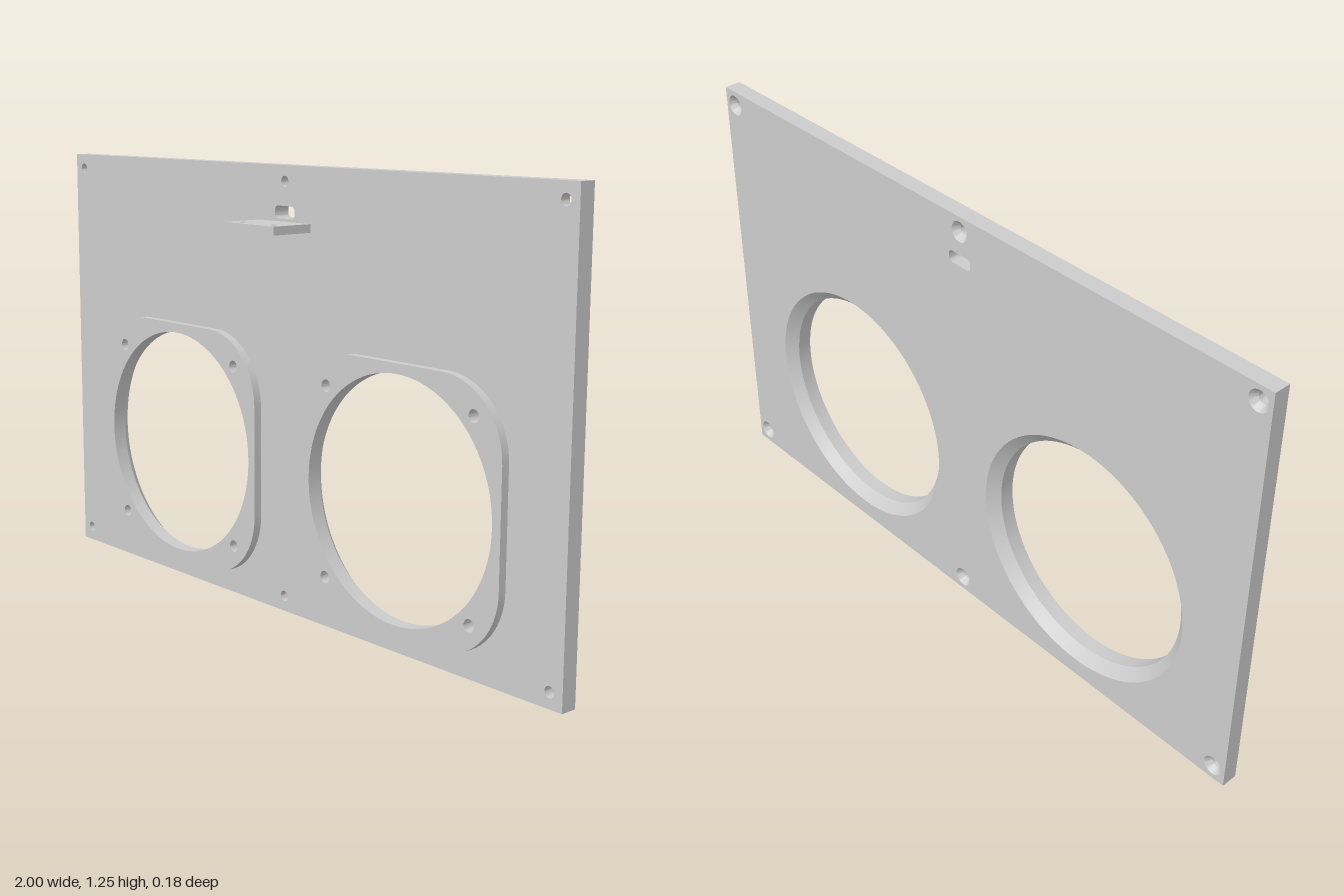
import * as THREE from 'three';
import { mergeGeometries, toCreasedNormals } from 'three/addons/utils/BufferGeometryUtils.js';

const BACK = -0.088, FRONT = -0.04, PAD = -0.016, H = 1.246;
const material = new THREE.MeshStandardMaterial({ color: 0xcccccc });

// Counter-clockwise rounded rectangle outline; a circle when r is half its size
function outline(cx, cy, w, h, r = 0, steps = 16) {
  const pts = [];
  [[1, 1], [-1, 1], [-1, -1], [1, -1]].forEach(([sx, sy], q) => {
    const x = cx + sx * (w / 2 - r), y = cy + sy * (h / 2 - r);
    if (!r) { pts.push(new THREE.Vector2(x, y)); return; }
    for (let i = 0; i <= steps; i++) {
      const a = (q + i / steps) * Math.PI / 2;
      const p = new THREE.Vector2(x + r * Math.cos(a), y + r * Math.sin(a));
      if (!pts.length || p.distanceTo(pts[pts.length - 1]) > 1e-5) pts.push(p);
    }
  });
  if (pts[0].distanceTo(pts[pts.length - 1]) < 1e-5) pts.pop();
  return pts;
}
const circle = (x, y, r, steps) => outline(x, y, 2 * r, 2 * r, r, steps);

// Wall between two matching outlines, z0 behind z1
function wall(a, z0, b, z1, inward = false) {
  const pos = [];
  a.forEach((p, i) => {
    const j = (i + 1) % a.length;
    const A = [p.x, p.y, z0], B = [a[j].x, a[j].y, z0];
    const C = [b[j].x, b[j].y, z1], D = [b[i].x, b[i].y, z1];
    pos.push(...(inward ? [A, C, B, A, D, C] : [A, B, C, A, C, D]).flat());
  });
  const g = new THREE.BufferGeometry();
  g.setAttribute('position', new THREE.Float32BufferAttribute(pos, 3));
  return g;
}

// Flat face with holes, facing +z
function face(points, holes, z) {
  const shape = new THREE.Shape(points);
  shape.holes = holes.map(h => new THREE.Path(h));
  const g = new THREE.ShapeGeometry(shape).toNonIndexed();
  g.deleteAttribute('uv');
  g.deleteAttribute('normal');
  return g.translate(0, 0, z);
}

function part(name, geometries) {
  const mesh = new THREE.Mesh(toCreasedNormals(mergeGeometries(geometries), 0.5), material);
  mesh.name = name;
  return mesh;
}

export function createModel() {
  const group = new THREE.Group();
  group.name = 'speakerPanel';
  const sides = [-1, 1], cx = 0.458, cy = 0.413, R = 0.33, flare = 0.36;

  // Panel: straight rim, slot and countersunk mounting holes
  const rim = outline(0, H / 2, 2, H);
  const slot = outline(0, 1.12, 0.08, 0.034, 0.012, 5);
  const mounts = [-0.96, 0, 0.96].flatMap(x => [0.043, 1.203].map(y => [x, y]));
  const padOutline = s => outline(s * cx, cy, 0.714, 0.714, 0.2);
  const small = mounts.map(([x, y]) => circle(x, y, 0.015, 6));
  const sinks = mounts.map(([x, y]) => circle(x, y, 0.029, 6));
  const panel = [
    wall(rim, BACK, rim, FRONT),
    wall(slot, BACK, slot, FRONT, true),
    face(rim, [slot, ...small, ...sides.map(padOutline)], FRONT),
    // the outline is mirror-symmetric, so the back is a half turn of the same kind of face
    face(rim, [slot, ...sinks, ...sides.map(s => circle(s * cx, cy, flare, 24))], -BACK).rotateY(Math.PI),
  ];
  small.forEach((hole, i) => {
    panel.push(wall(sinks[i], BACK, hole, BACK + 0.018, true));
    panel.push(wall(hole, BACK + 0.018, hole, FRONT, true));
  });
  group.add(part('panel', panel));

  // Raised pads with large flared openings and blind screw holes
  for (const s of sides) {
    const pad = padOutline(s), bore = circle(s * cx, cy, R, 24);
    const screws = sides.flatMap(u => sides.map(v => circle(s * cx + u * 0.263, cy + v * 0.263, 0.017, 6)));
    const pieces = [
      wall(pad, FRONT, pad, PAD),
      face(pad, [bore, ...screws], PAD),
      wall(circle(s * cx, cy, flare, 24), BACK, bore, BACK + 0.03, true),
      wall(bore, BACK + 0.03, bore, PAD, true),
    ];
    for (const hole of screws) {
      pieces.push(wall(hole, -0.06, hole, PAD, true), face(hole, [], -0.06));
    }
    group.add(part(s > 0 ? 'leftPad' : 'rightPad', pieces));
  }

  // Small shelf with two through holes
  const shelfShape = new THREE.Shape(outline(0, (FRONT + 0.088) / 2, 0.208, 0.088 - FRONT));
  shelfShape.holes = sides.map(s => new THREE.Path(circle(s * 0.064, 0.052, 0.01, 5)));
  const shelf = new THREE.ExtrudeGeometry(shelfShape, { depth: 0.023, bevelEnabled: false });
  shelf.rotateX(Math.PI / 2).translate(0, 1.095, 0);
  group.add(part('shelf', [shelf]));

  return group;
}
